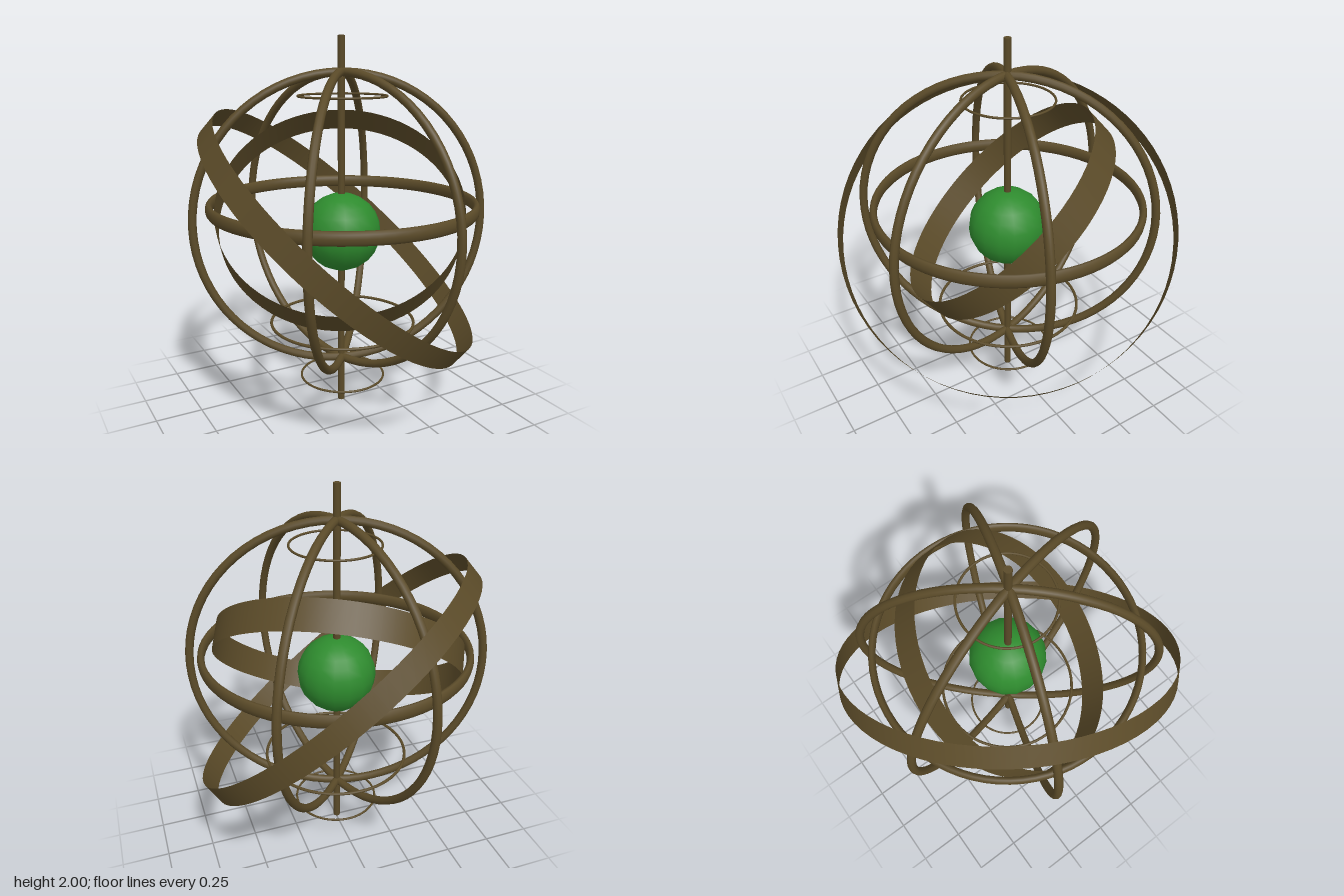
import * as THREE from 'three';

const brown = new THREE.MeshStandardMaterial({ color: 0x5a4a28 });
const bandBrown = new THREE.MeshStandardMaterial({ color: 0x5a4a28, side: THREE.DoubleSide });
const green = new THREE.MeshStandardMaterial({ color: 0x2e8b2e });

export function createModel() {
  const model = new THREE.Group();
  model.name = 'armillarySphere';

  const add = (name, geometry, material, x, y, z) => {
    const mesh = new THREE.Mesh(geometry, material);
    mesh.name = name;
    mesh.position.set(x, y, z);
    model.add(mesh);
    return mesh;
  };

  // Vertical axis and central globe
  add('axisRod', new THREE.CylinderGeometry(0.019, 0.019, 2, 10), brown, -0.007, 1, 0);
  add('globe', new THREE.SphereGeometry(0.21, 16, 12), green, -0.005, 0.985, 0);

  // Three upright rings meeting at the poles
  [-18.3, 50.6, -74].forEach((angle, i) => {
    const ring = add(`meridianRing${i + 1}`, new THREE.TorusGeometry(0.78, 0.022, 10, 72), brown, -0.008, 1.04, 0.005);
    ring.rotation.y = THREE.MathUtils.degToRad(angle);
  });

  // Level rings: name, height, radius, tube radius, vertical stretch
  const levelRings = [
    ['equatorRing', 1.133, 0.7, 0.019, 1.85],
    ['upperCircle', 1.7, 0.23, 0.006, 1],
    ['lowerCircle', 0.475, 0.392, 0.008, 1],
    ['footCircle', 0.155, 0.23, 0.006, 1],
  ];
  for (const [name, y, radius, tube, stretch] of levelRings) {
    const geometry = new THREE.TorusGeometry(radius, tube, 10, 72);
    geometry.rotateX(Math.PI / 2).scale(1, stretch, 1);
    add(name, geometry, brown, 0, y, 0);
  }

  // Tilted flat bands: name, radius, width, centre, axis direction
  const bands = [
    ['outerBand', 0.9, 0.12, [-0.005, 0.985, 0], [0.55, 0.75, 0.367]],
    ['innerBand', 0.655, 0.16, [-0.015, 1.095, 0], [-0.33, 0.735, 0.59]],
  ];
  const up = new THREE.Vector3(0, 1, 0);
  for (const [name, radius, width, centre, axis] of bands) {
    const geometry = new THREE.CylinderGeometry(radius, radius, width, 72, 1, true);
    const band = add(name, geometry, bandBrown, ...centre);
    band.quaternion.setFromUnitVectors(up, new THREE.Vector3(...axis).normalize());
  }

  return model;
}
